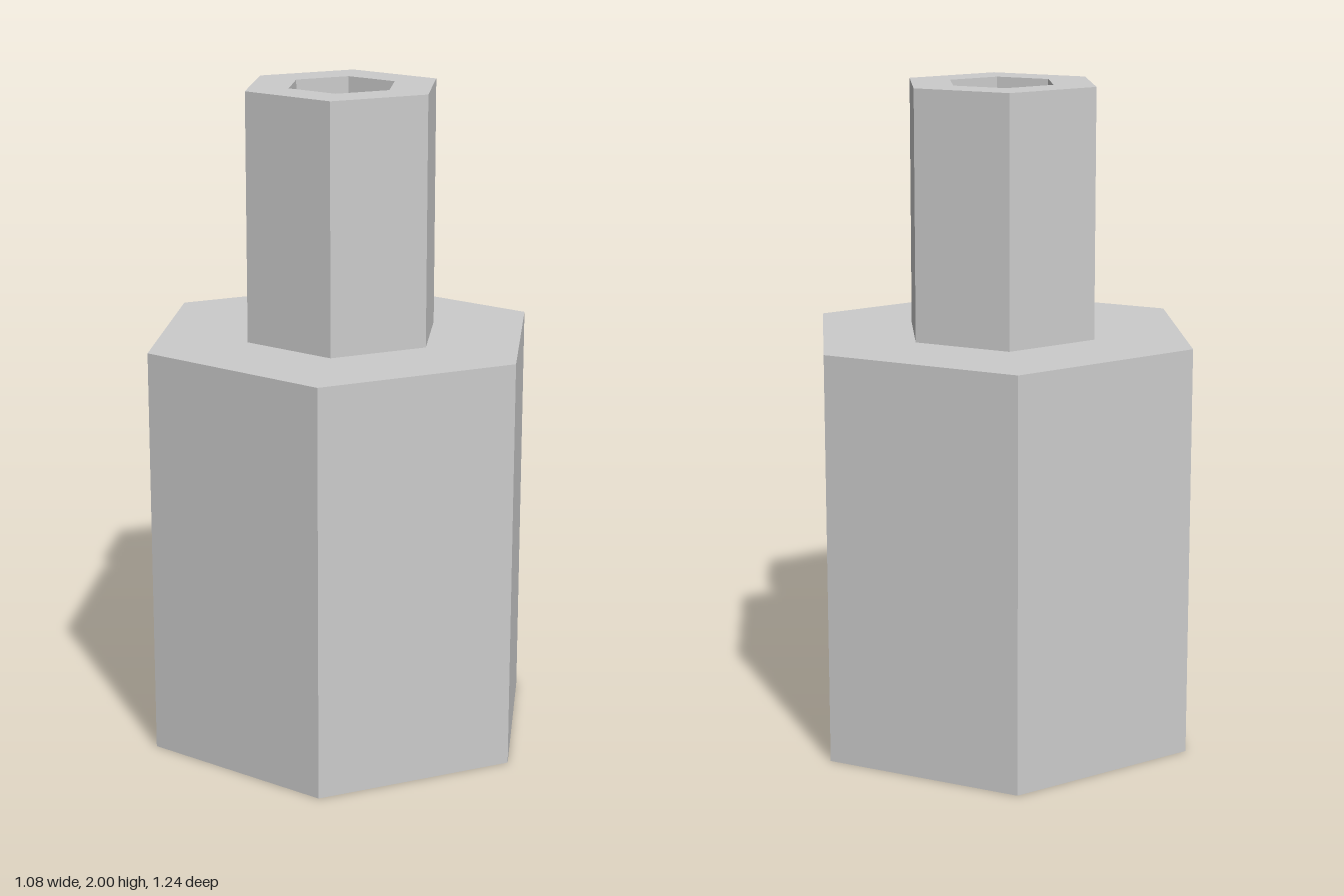
import * as THREE from 'three';

const SIDES = 6;

export function createModel() {
  const model = new THREE.Group();
  const material = new THREE.MeshStandardMaterial({ color: 0xcccccc, flatShading: true });

  const bodyHeight = 1.25, bodyRadius = 0.622;
  const neckRadius = 0.307, boreRadius = 0.17, top = 2;

  // Solid hexagonal body, corners pointing to front and back
  const body = new THREE.Mesh(
    new THREE.CylinderGeometry(bodyRadius, bodyRadius, bodyHeight, SIDES), material);
  body.name = 'body';
  body.position.y = bodyHeight / 2;
  model.add(body);

  // Hexagonal neck: outer wall, rim and bore wall in one profile; the body closes the bore
  const profile = [
    [neckRadius, bodyHeight], [neckRadius, top], [boreRadius, top], [boreRadius, bodyHeight],
  ].map(([r, y]) => new THREE.Vector2(r, y));
  const neck = new THREE.Mesh(new THREE.LatheGeometry(profile, SIDES), material);
  neck.name = 'hollowNeck';
  model.add(neck);

  return model;
}
